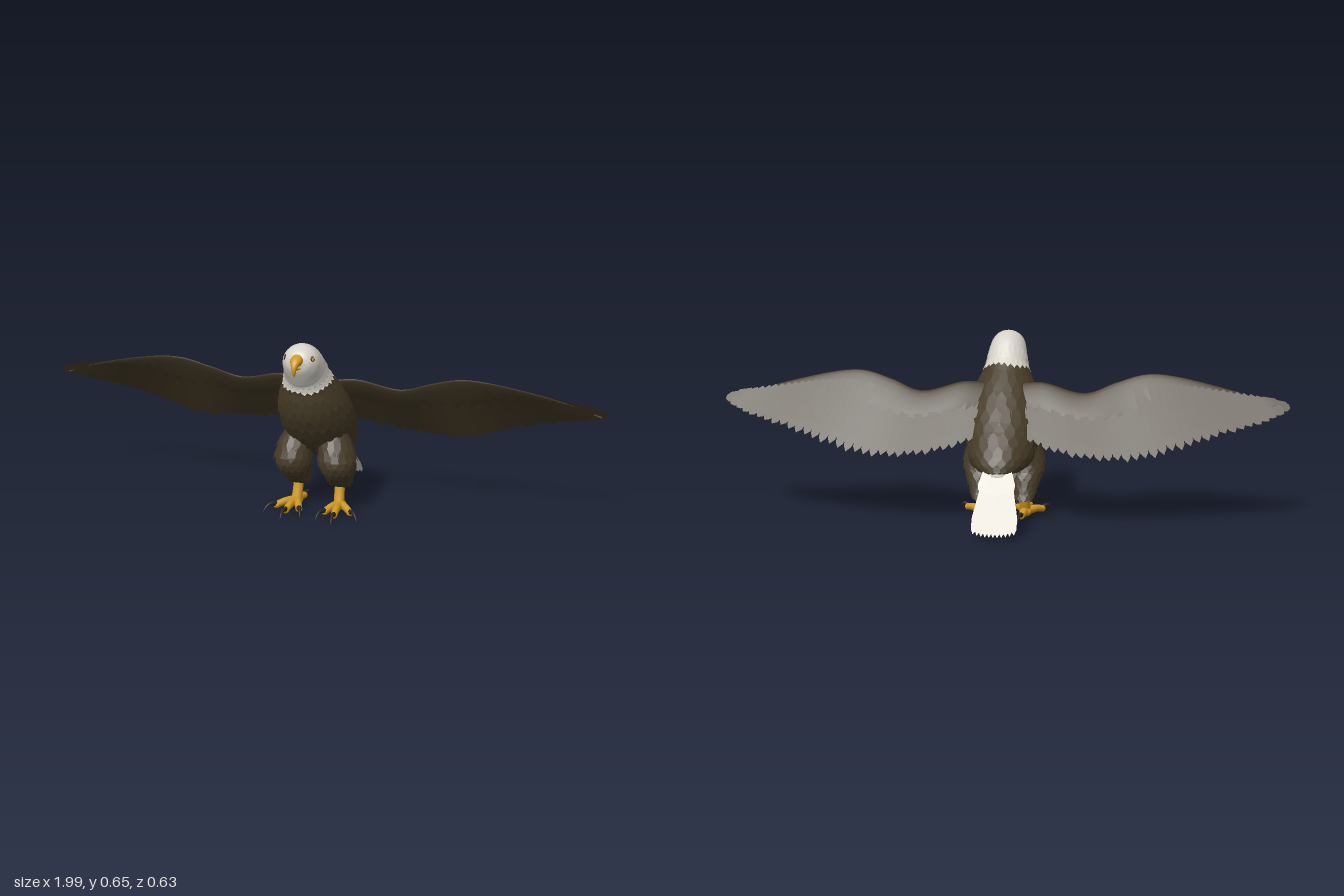
import * as THREE from 'three';
import { mergeGeometries } from 'three/addons/utils/BufferGeometryUtils.js';

const V = (x, y, z) => new THREE.Vector3(x, y, z);
const mat = (name, color, side = THREE.FrontSide) => {
  const m = new THREE.MeshStandardMaterial({ color, side });
  m.name = name;
  return m;
};

// Smooth surface through sections [frontZ, frontY, backZ, backY, halfWidth, centreX]
function sections(list) {
  const f = new THREE.CatmullRomCurve3(list.map(s => V(s[4], s[1], s[0])));
  const b = new THREE.CatmullRomCurve3(list.map(s => V(s[5] || 0, s[3], s[2])));
  return (u, a, lift = 0) => {
    const p = f.getPoint(u), q = b.getPoint(u), k = (1 + Math.cos(a)) / 2;
    const cy = (p.y + q.y) / 2, cz = (p.z + q.z) / 2;
    const y = q.y + (p.y - q.y) * k, z = q.z + (p.z - q.z) * k;
    const n = V(Math.sin(a) * p.x, y - cy, z - cz);
    return V(q.x, cy, cz).addScaledVector(n, 1 + lift / Math.max(n.length(), 0.02));
  };
}

// Closed rings of a surface between u0 and u1
function loft(surf, u0 = 0, u1 = 1, nu = 24, na = 28) {
  const pos = [], idx = [];
  for (let i = 0; i <= nu; i++) {
    for (let j = 0; j < na; j++) {
      pos.push(...surf(u0 + (u1 - u0) * i / nu, j / na * Math.PI * 2).toArray());
      if (i === nu) continue;
      const a = i * na + j, b = i * na + (j + 1) % na;
      idx.push(a, a + na, b, b, a + na, b + na);
    }
  }
  const g = new THREE.BufferGeometry();
  g.setAttribute('position', new THREE.Float32BufferAttribute(pos, 3));
  g.setIndex(idx);
  g.computeVertexNormals();
  return g;
}

function triangles(points) {
  const g = new THREE.BufferGeometry().setFromPoints(points);
  g.computeVertexNormals();
  return g;
}

// Overlapping pointed feathers lying on a surface
function shingles(surf, u0, u1, rows, n, len, lift) {
  const pts = [];
  for (let r = 0; r < rows; r++) {
    const u = rows > 1 ? u0 + (u1 - u0) * r / (rows - 1) : u0;
    for (let j = 0; j < n; j++) {
      const a = (j + (r % 2) / 2) / n * Math.PI * 2, d = 0.6 * Math.PI * 2 / n;
      const l = len * (0.85 + 0.15 * Math.sin(j * 5.3 + r * 2.1));
      const e = k => Math.min(1, u + l * k);
      const A = surf(u, a - d, 0.001), B = surf(u, a + d, 0.001);
      const C = surf(e(0.6), a - d * 0.85, lift * 0.6), D = surf(e(0.6), a + d * 0.85, lift * 0.6);
      const T = surf(e(1), a, lift);
      pts.push(A, C, B, B, C, D, C, T, D);
    }
  }
  return triangles(pts);
}

// Flat feather from base to tip, wide across the blade normal n
function feather(base, tip, n, w) {
  const dir = tip.clone().sub(base), s = dir.clone().cross(n).normalize();
  const at = (k, q) => base.clone().addScaledVector(dir, k).addScaledVector(s, q * w);
  const A = at(0, -0.6), B = at(0, 0.6), C = at(0.75, -1), D = at(0.75, 1);
  const E = at(0.92, -0.65), F = at(0.92, 0.65);
  return triangles([A, C, B, B, C, D, C, E, D, D, E, F, E, tip, F]);
}

// Tube whose radius runs from r0 to r1
function taper(points, r0, r1, seg = 8) {
  const curve = new THREE.CatmullRomCurve3(points.map(p => V(...p)));
  const g = new THREE.TubeGeometry(curve, seg, r0, 10, false), p = g.attributes.position;
  for (let i = 0; i < p.count; i++) {
    const t = Math.floor(i / 11) / seg, c = curve.getPointAt(t);
    const v = V(p.getX(i), p.getY(i), p.getZ(i)).sub(c).multiplyScalar(1 + (r1 / r0 - 1) * t).add(c);
    p.setXYZ(i, v.x, v.y, v.z);
  }
  return g;
}

function ball(r, x, y, z, sx = 1, sy = 1, sz = 1) {
  return new THREE.SphereGeometry(r, 20, 14).scale(sx, sy, sz).translate(x, y, z);
}

// Mirror across x = 0 and turn the faces back outward
function mirrored(geo) {
  const g = geo.index ? geo.toNonIndexed() : geo.clone();
  g.scale(-1, 1, 1);
  for (const at of Object.values(g.attributes)) {
    const s = at.itemSize, a = at.array;
    for (let i = 0; i < at.count; i += 3) {
      for (let k = 0; k < s; k++) {
        const o = (i + 1) * s + k, t = a[o];
        a[o] = a[o + s];
        a[o + s] = t;
      }
    }
  }
  return g;
}

export function createModel() {
  const root = new THREE.Group();
  root.name = 'eagle';
  const brown = mat('brown plumage', 0x453a26, THREE.DoubleSide);
  const white = mat('white plumage', 0xd6d2c8, THREE.DoubleSide);
  const yellow = mat('yellow skin', 0xd29a22);
  const dark = mat('dark horn', 0x2b2724);
  const add = (name, geo, m) => {
    const mesh = new THREE.Mesh(geo, m);
    mesh.name = name;
    root.add(mesh);
  };
  const pair = (name, geo, m) => {
    add('left' + name, geo, m);
    add('right' + name, mirrored(geo), m);
  };

  // Head and body share one surface, split at the neck
  const body = sections([
    [0.283, 0.585, 0.283, 0.615, 0.015], [0.278, 0.565, 0.265, 0.637, 0.042],
    [0.265, 0.54, 0.225, 0.652, 0.06], [0.25, 0.515, 0.165, 0.632, 0.069],
    [0.235, 0.492, 0.1, 0.56, 0.078], [0.228, 0.45, 0.04, 0.505, 0.1],
    [0.21, 0.39, -0.03, 0.435, 0.121], [0.17, 0.325, -0.09, 0.365, 0.128],
    [0.12, 0.265, -0.14, 0.305, 0.122], [0.05, 0.205, -0.175, 0.25, 0.108],
    [-0.05, 0.19, -0.183, 0.21, 0.065], [-0.13, 0.2, -0.178, 0.195, 0.01]]);
  const neck = 4 / 11;
  add('head', loft(body, 0, neck), white);
  add('neckFeathers', shingles(body, neck - 0.06, neck - 0.01, 2, 24, 0.05, 0.004), white);
  add('body', loft(body, neck, 1, 32), brown);
  add('bodyFeathers', shingles(body, neck + 0.05, 0.86, 9, 22, 0.09, 0.006), brown);
  add('vent', ball(1, 0, 0.195, -0.118, 0.06, 0.045, 0.066), white);

  // Hooked beak
  add('upperBeak', loft(sections([
    [0.265, 0.63, 0.265, 0.585, 0.024], [0.29, 0.624, 0.285, 0.59, 0.02],
    [0.308, 0.612, 0.295, 0.59, 0.015], [0.318, 0.592, 0.303, 0.584, 0.009],
    [0.316, 0.572, 0.306, 0.572, 0.006], [0.309, 0.559, 0.307, 0.56, 0.001]]), 0, 1, 20, 16), yellow);
  add('lowerBeak', loft(sections([
    [0.265, 0.592, 0.265, 0.575, 0.018], [0.285, 0.588, 0.285, 0.577, 0.012],
    [0.296, 0.586, 0.295, 0.582, 0.002]]), 0, 1, 8, 12), yellow);

  // Eyes
  pair('EyeRim', ball(0.0105, 0.046, 0.61, 0.256, 0.6), dark);
  pair('Eye', ball(0.0085, 0.0485, 0.61, 0.257, 0.7), yellow);
  pair('Pupil', ball(0.004, 0.0525, 0.61, 0.2585, 0.7), dark);

  // Wings: leading edge, line of feather tips, arm and feather layers
  const lead = new THREE.CatmullRomCurve3([
    V(0.06, 0.485, 0.06), V(0.14, 0.49, 0.045), V(0.29, 0.458, 0.02), V(0.4, 0.495, 0.045),
    V(0.52, 0.524, 0.06), V(0.77, 0.483, 0.03), V(0.92, 0.437, 0.01), V(0.97, 0.415, 0)]);
  const trail = new THREE.CatmullRomCurve3([
    V(0.08, 0.31, -0.085), V(0.2, 0.272, -0.13), V(0.35, 0.252, -0.145), V(0.5, 0.255, -0.125),
    V(0.65, 0.3, -0.115), V(0.76, 0.337, -0.095), V(0.87, 0.367, -0.068), V(0.95, 0.393, -0.035),
    V(0.997, 0.418, 0)]);
  const blade = V(0, 0.62, -0.78);
  const arm = (u, a) => {
    const l = lead.getPointAt(u), m = l.clone().lerp(trail.getPointAt(u), 0.5 - 0.3 * u ** 4);
    return m.lerp(l, (1 + Math.cos(a)) / 2).addScaledVector(blade, Math.sin(a) * 0.011 * (1 - 0.75 * u));
  };
  pair('WingArm', loft(arm, 0, 1, 36, 16), brown);
  const layer = (n, from, reach, w, off) => {
    const list = [];
    for (let i = 0; i < n; i++) {
      const u = i / (n - 1), l = lead.getPointAt(u * 0.9), t = trail.getPointAt(u);
      const shift = off + (i % 2) * 0.0015;
      const base = l.clone().lerp(t, from).addScaledVector(blade, shift);
      const tip = l.clone().lerp(t, reach - (i % 3) * 0.012).addScaledVector(blade, shift);
      list.push(feather(base, tip, blade, w));
    }
    return mergeGeometries(list);
  };
  pair('FlightFeathers', layer(32, 0.2, 1.01, 0.021, 0), brown);
  pair('UpperCoverts', layer(36, 0.15, 0.66, 0.018, 0.006), brown);
  pair('UnderCoverts', layer(36, 0.15, 0.62, 0.018, -0.007), brown);

  // Tail fan in two layers
  const tailNormal = V(0, 0.63, -0.77);
  const fan = (n, spread0, spread1, y0, z0, y1, z1, w) => {
    const list = [];
    for (let i = 0; i < n; i++) {
      const k = i / (n - 1) * 2 - 1, off = 0.004 * (1 - Math.abs(k));
      list.push(feather(V(k * spread0, y0 + off, z0), V(k * spread1, y1 + off + 0.012 * k * k, z1 + 0.01 * k * k), tailNormal, w));
    }
    return mergeGeometries(list);
  };
  add('tail', fan(11, 0.035, 0.07, 0.215, -0.14, 0.012, -0.312, 0.016), white);
  add('tailCoverts', fan(7, 0.03, 0.052, 0.235, -0.15, 0.135, -0.222, 0.018), white);

  // Feathered thighs
  const thigh = sections([
    [0.08, 0.33, 0, 0.33, 0.035, 0.065], [0.122, 0.27, 0, 0.25, 0.056, 0.072],
    [0.143, 0.2, 0, 0.19, 0.064, 0.08], [0.122, 0.158, -0.008, 0.15, 0.054, 0.08],
    [0.085, 0.12, -0.015, 0.1, 0.04, 0.078], [0.045, 0.088, -0.018, 0.07, 0.028, 0.077],
    [0.02, 0.085, 0, 0.08, 0.005, 0.077]]);
  pair('Thigh', loft(thigh), brown);
  pair('ThighFeathers', shingles(thigh, 0.12, 0.7, 7, 16, 0.16, 0.009), brown);

  // Legs, toes and claws
  pair('Leg', taper([[0.077, 0.11, 0.02], [0.077, 0.07, 0.028], [0.079, 0.02, 0.044]], 0.018, 0.02), yellow);
  pair('FootPad', ball(0.021, 0.08, 0.021, 0.038, 1.1, 0.85, 1.2), yellow);
  for (const [toe, x, z] of [['Inner', 0.048, 0.115], ['Middle', 0.088, 0.14], ['Outer', 0.135, 0.1], ['Hind', 0.07, -0.018]]) {
    const d = V(x - 0.08, 0, z - 0.035).normalize();
    const on = (k, y) => [x + d.x * k, y, z + d.z * k];
    pair(toe + 'Toe', taper([[0.08, 0.022, 0.035], on(-0.035, 0.024), on(0, 0.018)], 0.016, 0.012), yellow);
    pair(toe + 'Knuckle', ball(0.0125, x, 0.018, z), yellow);
    pair(toe + 'Claw', taper([on(0, 0.02), on(0.022, 0.027), on(0.042, 0.02), on(0.056, 0.004)], 0.0105, 0.0008, 10), dark);
  }
  return root;
}
